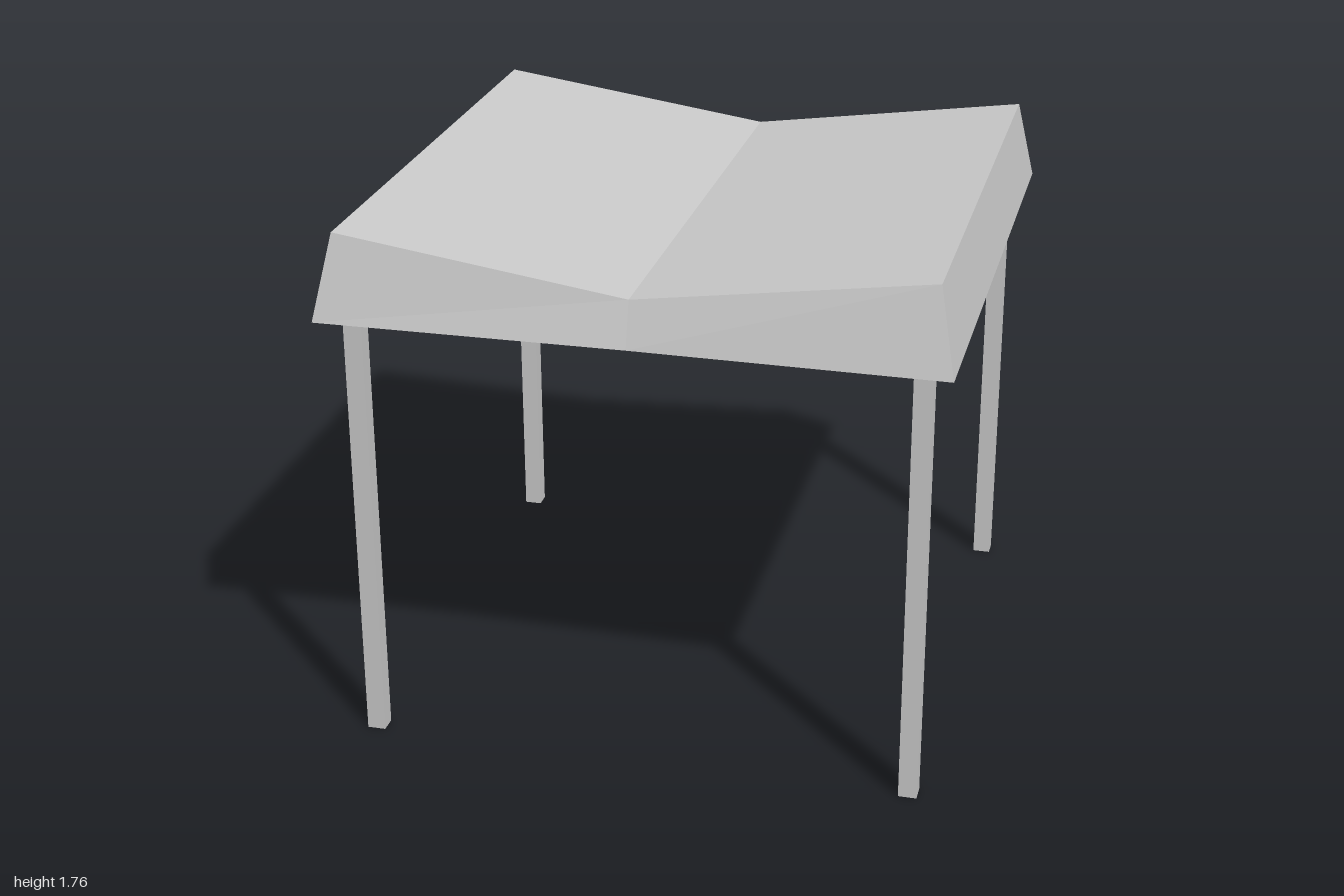
import * as THREE from 'three';

// Six points around the canopy: four corners plus the middle of the front and back
function ring(x, z, y, zMid, yMid) {
  return [
    [x, y, z], [x, y, -z], [0, yMid, -zMid],
    [-x, y, -z], [-x, y, z], [0, yMid, zMid],
  ];
}

// Hollow canopy with a valley fold along z, made of four linked rings
function canopyGeometry() {
  const innerTop = ring(0.905, 0.89, 1.715, 0.895, 1.583);
  const innerRim = ring(0.945, 0.93, 1.48, 0.92, 1.476);
  const outerRim = ring(1.0, 0.993, 1.487, 0.969, 1.481);
  const outerTop = ring(0.945, 0.927, 1.765, 0.927, 1.63);
  const rings = [innerTop, innerRim, outerRim, outerTop];
  const pos = [];
  const quad = (a, b, c, d) => pos.push(...a, ...b, ...c, ...a, ...c, ...d);

  // Inner walls, bottom rim and outer walls
  for (let r = 0; r < 3; r++) {
    for (let i = 0; i < 6; i++) {
      const j = (i + 1) % 6;
      quad(rings[r][i], rings[r + 1][i], rings[r + 1][j], rings[r][j]);
    }
  }
  // Two roof slopes above and two ceiling slopes below
  for (const [a, b, c, d] of [[0, 1, 2, 5], [5, 2, 3, 4]]) {
    quad(outerTop[a], outerTop[b], outerTop[c], outerTop[d]);
    quad(innerTop[d], innerTop[c], innerTop[b], innerTop[a]);
  }
  const geometry = new THREE.BufferGeometry();
  geometry.setAttribute('position', new THREE.Float32BufferAttribute(pos, 3));
  geometry.computeVertexNormals();
  return geometry;
}

export function createModel() {
  const model = new THREE.Group();
  model.name = 'shelter';
  const material = new THREE.MeshStandardMaterial({
    color: 0xcccccc, flatShading: true, side: THREE.DoubleSide,
  });

  const canopy = new THREE.Mesh(canopyGeometry(), material);
  canopy.name = 'canopy';
  model.add(canopy);

  // Four square posts reaching up into the ceiling
  const height = 1.73;
  const postGeometry = new THREE.BoxGeometry(0.06, height, 0.058);
  for (const [side, sx] of [['Left', 1], ['Right', -1]]) {
    for (const [end, sz] of [['front', 1], ['back', -1]]) {
      const post = new THREE.Mesh(postGeometry, material);
      post.name = `${end}${side}Post`;
      post.position.set(sx * 0.9, height / 2, sz * 0.886);
      model.add(post);
    }
  }
  return model;
}
